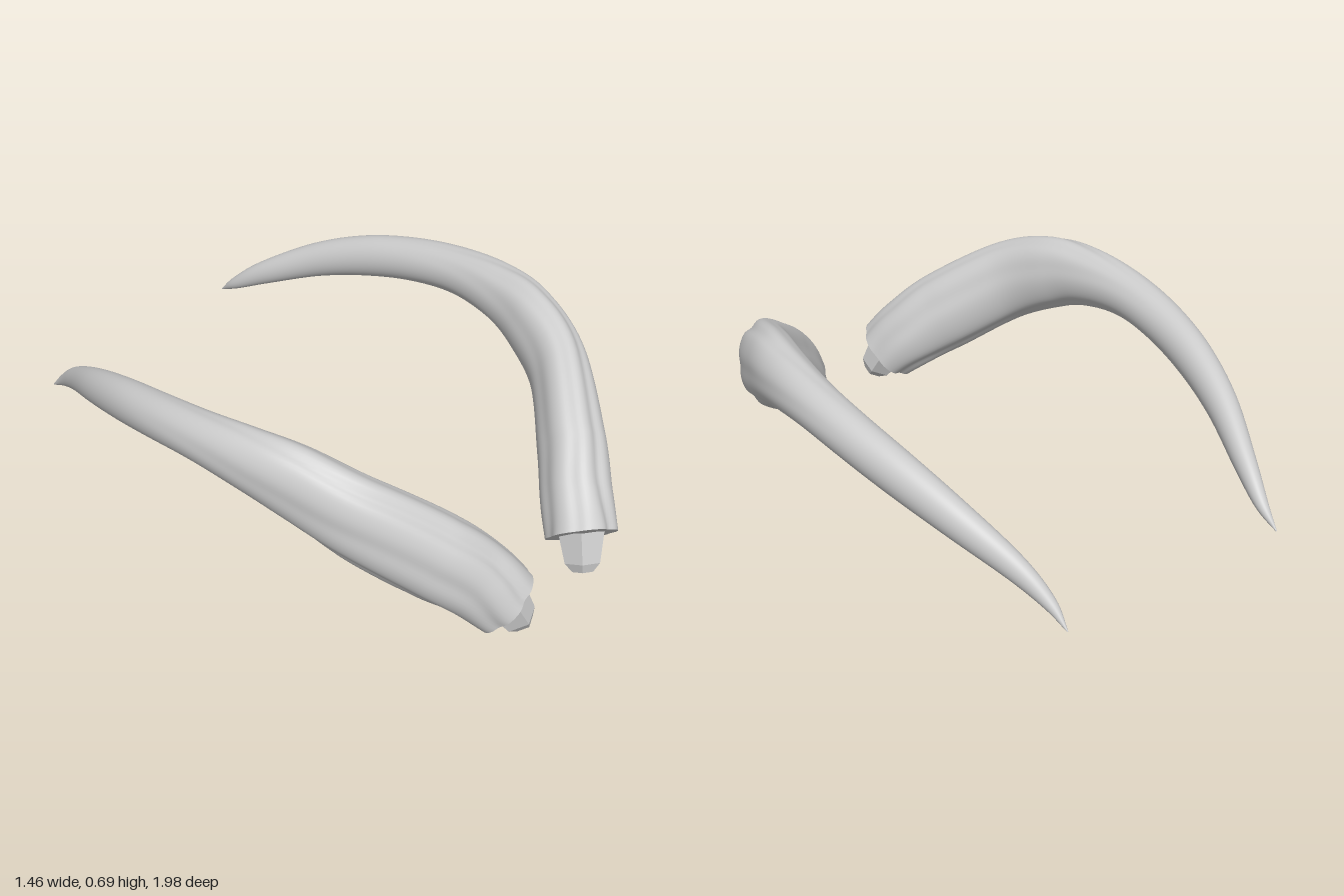
import * as THREE from 'three';

// Stations along the left horn: centre x, y, z, half height, half width
const STATIONS = [
  [0.21, 0.12, 0.88, 0.122, 0.118],
  [0.27, 0.205, 0.81, 0.138, 0.118],
  [0.37, 0.31, 0.71, 0.153, 0.113],
  [0.525, 0.46, 0.53, 0.148, 0.097],
  [0.6, 0.545, 0.35, 0.135, 0.09],
  [0.637, 0.575, 0.19, 0.11, 0.086],
  [0.653, 0.577, 0, 0.088, 0.078],
  [0.643, 0.55, -0.2, 0.081, 0.072],
  [0.61, 0.502, -0.4, 0.077, 0.064],
  [0.555, 0.43, -0.6, 0.065, 0.053],
  [0.478, 0.328, -0.8, 0.045, 0.037],
  [0.44, 0.25, -0.92, 0.024, 0.022],
  [0.434, 0.19, -1, 0.002, 0.002],
];
// Lengthwise grooves: angle at the base, drift along the horn, depth, width
const GROOVES = [
  [0.75, 1.6, 0.13, 0.2],
  [-0.25, 0.9, 0.1, 0.24],
  [-1.15, 0.3, 0.12, 0.22],
  [-2.1, -0.3, 0.11, 0.24],
  [2.9, -0.6, 0.08, 0.25],
  [1.8, 0.5, 0.06, 0.2],
];
const RINGS = 96, SIDES = 72;
const UP = new THREE.Vector3(0, 1, 0);

const path = new THREE.CatmullRomCurve3(STATIONS.map((s) => new THREE.Vector3(s[0], s[1], s[2])), false, 'catmullrom', 0.5);
const sizes = new THREE.CatmullRomCurve3(STATIONS.map((s) => new THREE.Vector3(s[3], s[4], 0)), false, 'catmullrom', 0.5);

function grooveFactor(a, t) {
  const fade = Math.pow(Math.max(0, 1 - t / 0.6), 0.8);
  let f = 1 + 0.025 * fade;
  for (const [angle, drift, depth, width] of GROOVES) {
    const centre = angle + drift * t + 0.12 * Math.sin(t * 14 + angle);
    const d = Math.atan2(Math.sin(a - centre), Math.cos(a - centre));
    f -= depth * fade * Math.exp(-(d * d) / (width * width));
  }
  return f;
}

function ringPoints(t) {
  const c = path.getPoint(t), size = sizes.getPoint(t), tangent = path.getTangent(t);
  const side = new THREE.Vector3().crossVectors(tangent, UP).normalize();
  const rise = new THREE.Vector3().crossVectors(side, tangent);
  return Array.from({ length: SIDES }, (_, j) => {
    const a = (j / SIDES) * Math.PI * 2, f = grooveFactor(a, t);
    return c.clone()
      .addScaledVector(side, size.y * f * Math.cos(a))
      .addScaledVector(rise, size.x * f * Math.sin(a));
  });
}

function fromPoints(points, index) {
  const g = new THREE.BufferGeometry().setFromPoints(points);
  g.setIndex(index);
  g.computeVertexNormals();
  return g;
}

// Curved, tapering, grooved shell
function hornGeometry() {
  const points = [], index = [];
  for (let i = 0; i <= RINGS; i++) points.push(...ringPoints(i / RINGS));
  for (let i = 0; i < RINGS; i++) {
    for (let j = 0; j < SIDES; j++) {
      const k = (j + 1) % SIDES;
      const a = i * SIDES + j, b = i * SIDES + k, c = a + SIDES, d = b + SIDES;
      index.push(a, c, b, b, c, d);
    }
  }
  return fromPoints(points, index);
}

// Flat face closing the wide end
function capGeometry() {
  const points = [...ringPoints(0), path.getPoint(0)], index = [];
  for (let j = 0; j < SIDES; j++) index.push(SIDES, j, (j + 1) % SIDES);
  return fromPoints(points, index);
}

// Five-sided tapered peg with a chamfered end
function pegGeometry() {
  const profile = [[0, -0.118], [0.036, -0.118], [0.061, -0.088], [0.08, 0.02]];
  const g = new THREE.LatheGeometry(profile.map(([r, y]) => new THREE.Vector2(r, y)), 5, 0.3);
  const axis = new THREE.Vector3(0.36, 0.85, -0.38).normalize();
  g.applyQuaternion(new THREE.Quaternion().setFromUnitVectors(UP, axis));
  g.translate(0.207, 0.118, 0.882);
  return g;
}

// Mirrors a geometry across x = 0 and restores its winding
function mirrored(geometry) {
  const g = geometry.clone().scale(-1, 1, 1);
  const idx = g.index.array;
  for (let i = 0; i < idx.length; i += 3) [idx[i + 1], idx[i + 2]] = [idx[i + 2], idx[i + 1]];
  g.computeVertexNormals();
  return g;
}

export function createModel() {
  const model = new THREE.Group();
  model.name = 'pairOfHorns';
  const smooth = new THREE.MeshStandardMaterial({ color: 0xcccccc });
  const faceted = new THREE.MeshStandardMaterial({ color: 0xcccccc, flatShading: true });
  const parts = [
    ['Shell', hornGeometry(), smooth],
    ['BaseCap', capGeometry(), faceted],
    ['Peg', pegGeometry(), faceted],
  ];
  for (const side of ['left', 'right']) {
    const horn = new THREE.Group();
    horn.name = side + 'Horn';
    for (const [name, geometry, material] of parts) {
      const mesh = new THREE.Mesh(side === 'left' ? geometry : mirrored(geometry), material);
      mesh.name = side + name;
      horn.add(mesh);
    }
    model.add(horn);
  }
  return model;
}
